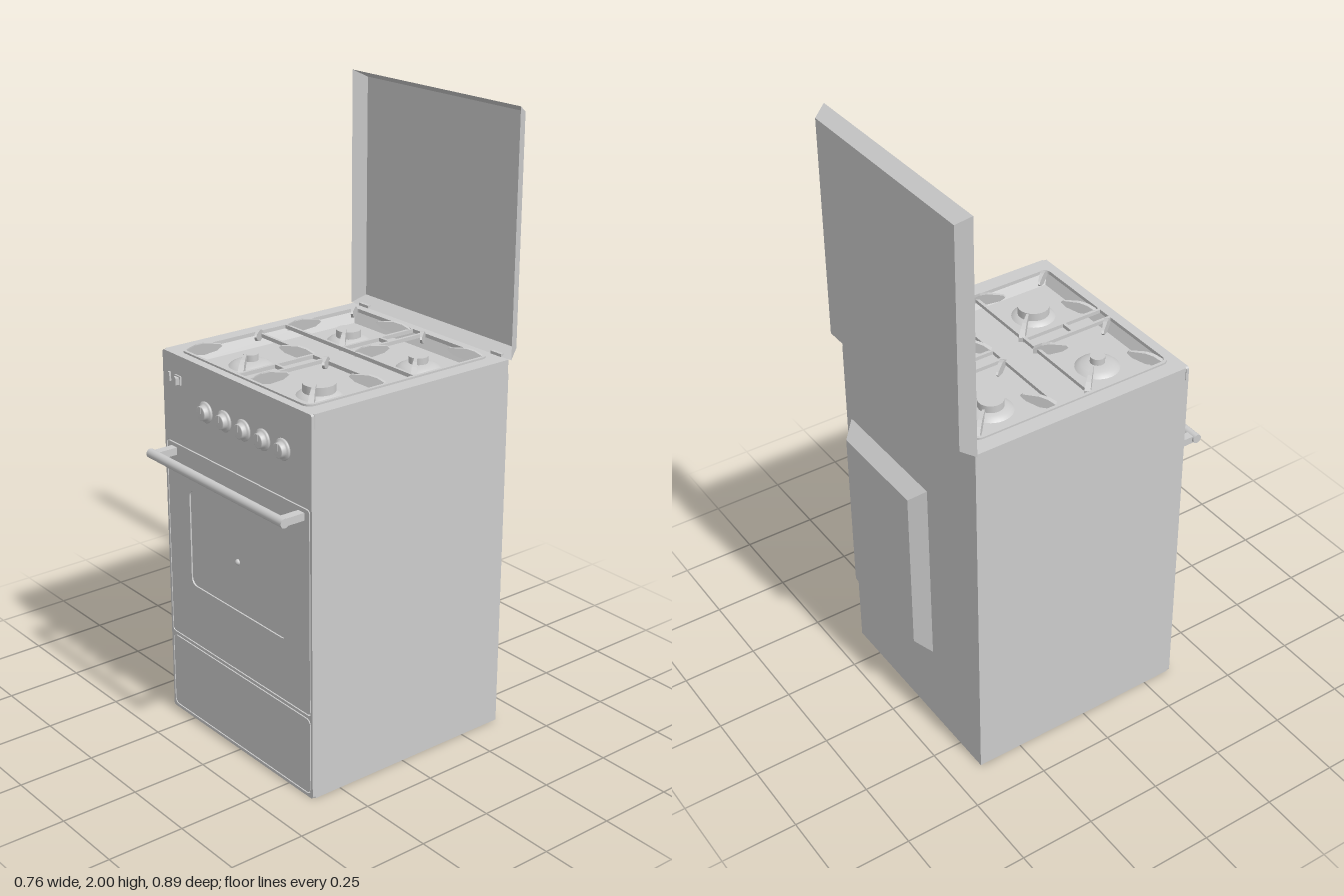
import * as THREE from 'three';

const grey = new THREE.MeshStandardMaterial({ color: 0xcccccc });
const thin = new THREE.MeshStandardMaterial({ color: 0xcccccc, side: THREE.DoubleSide });

function add(parent, name, geometry, x = 0, y = 0, z = 0, material = grey) {
  const mesh = new THREE.Mesh(geometry, material);
  mesh.name = name;
  mesh.position.set(x, y, z);
  parent.add(mesh);
  return mesh;
}

// box given by its limits on each axis
function block(parent, name, x0, x1, y0, y1, z0, z1) {
  return add(parent, name, new THREE.BoxGeometry(x1 - x0, y1 - y0, z1 - z0),
    (x0 + x1) / 2, (y0 + y1) / 2, (z0 + z1) / 2);
}

function roundRect(x0, x1, y0, y1, r, target = new THREE.Shape()) {
  const q = Math.PI / 2;
  target.absarc(x1 - r, y0 + r, r, -q, 0);
  target.absarc(x1 - r, y1 - r, r, 0, q);
  target.absarc(x0 + r, y1 - r, r, q, 2 * q);
  target.absarc(x0 + r, y0 + r, r, 2 * q, 3 * q);
  target.closePath();
  return target;
}

function plate(shape, depth, holes = []) {
  shape.holes.push(...holes.map((h) => roundRect(...h, new THREE.Path())));
  return new THREE.ExtrudeGeometry(shape, { depth, bevelEnabled: false, curveSegments: 5 });
}

// open pan: rim rectangle at z = 0, smaller floor at z = -depth
function pan(x0, x1, y0, y1, inset, depth) {
  const ring = (i, z) => [[x0 + i, y0 + i, z], [x1 - i, y0 + i, z], [x1 - i, y1 - i, z], [x0 + i, y1 - i, z]];
  const a = ring(0, 0), b = ring(inset, -depth), pos = [];
  const quad = (p, q, r, s) => pos.push(...p, ...q, ...r, ...p, ...r, ...s);
  for (let i = 0; i < 4; i++) {
    const j = (i + 1) % 4;
    quad(a[i], b[i], b[j], a[j]);
  }
  quad(b[3], b[2], b[1], b[0]);
  const g = new THREE.BufferGeometry();
  g.setAttribute('position', new THREE.Float32BufferAttribute(pos, 3));
  g.computeVertexNormals();
  return g;
}

// pan support: a fin, broad at the corner and narrow toward the burner
function finGeometry() {
  const s = new THREE.Shape();
  s.moveTo(0, 1.225);
  s.lineTo(0, 1.24);
  s.lineTo(0.025, 1.255);
  s.lineTo(0.05, 1.262);
  s.lineTo(0.1, 1.262);
  s.lineTo(0.107, 1.255);
  s.lineTo(0.09, 1.24);
  s.lineTo(0.05, 1.225);
  const g = new THREE.ExtrudeGeometry(s, { depth: 0.018, bevelEnabled: false });
  g.translate(0, 0, -0.009);
  const p = g.attributes.position;
  for (let i = 0; i < p.count; i++) p.setZ(i, p.getZ(i) * (1 - 6 * p.getX(i)));
  g.computeVertexNormals();
  return g;
}

export function createModel() {
  const model = new THREE.Group();
  model.name = 'cooker';
  const up = -Math.PI / 2;

  // cabinet with a front frame and inset panels
  block(model, 'cabinet', -0.368, 0.368, 0, 1.19, -0.4, 0.345);
  add(model, 'frontFrame', plate(roundRect(-0.368, 0.368, 0, 1.235, 0.008), 0.01,
    [[-0.36, 0.36, 0.278, 0.945, 0.012], [-0.36, 0.36, 0.01, 0.268, 0.02]]), 0, 0, 0.345);
  add(model, 'ovenDoor', plate(roundRect(-0.356, 0.356, 0.282, 0.941, 0.01), 0.01,
    [[-0.245, 0.245, 0.485, 0.81, 0.025]]), 0, 0, 0.345);
  add(model, 'ovenWindow', new THREE.BoxGeometry(0.5, 0.34, 0.004), 0, 0.648, 0.348);
  add(model, 'windowStud', new THREE.SphereGeometry(0.01, 12, 8), 0, 0.65, 0.35);
  add(model, 'drawerFront', plate(roundRect(-0.356, 0.356, 0.014, 0.264, 0.017), 0.01), 0, 0, 0.345);

  // oven handle
  const bar = add(model, 'handleBar', new THREE.CylinderGeometry(0.015, 0.015, 0.682, 20), 0, 0.919, 0.43);
  bar.rotation.z = Math.PI / 2;
  for (const s of [-1, 1]) {
    add(model, 'handleBracket', new THREE.BoxGeometry(0.028, 0.024, 0.075), s * 0.32, 0.917, 0.39);
  }

  // control knobs and switches
  const knobProfile = [[0, 0], [0.032, 0], [0.034, 0.006], [0.03, 0.01], [0.024, 0.012], [0.023, 0.023], [0.02, 0.025], [0, 0.025]];
  const knob = new THREE.LatheGeometry(knobProfile.map(([r, y]) => new THREE.Vector2(r, y)), 24);
  for (let i = 0; i < 5; i++) {
    const x = -0.14 + i * 0.095;
    add(model, 'knob', knob, x, 1.095, 0.354).rotation.x = Math.PI / 2;
    block(model, 'knobPointer', x - 0.003, x + 0.003, 1.095, 1.117, 0.376, 0.381);
  }
  block(model, 'buttonLight', -0.335, -0.325, 1.143, 1.172, 0.354, 0.362);
  block(model, 'buttonBase', -0.3, -0.27, 1.143, 1.172, 0.354, 0.36);
  const rocker = add(model, 'rockerSwitch', new THREE.BoxGeometry(0.024, 0.022, 0.012), -0.284, 1.157, 0.363);
  rocker.rotation.y = -0.4;

  // hob top with a sunken tray
  add(model, 'hobTop', plate(roundRect(-0.368, 0.368, -0.345, 0.4, 0.004), 0.045,
    [[-0.316, 0.316, -0.326, 0.367, 0.03]]), 0, 1.19, 0).rotation.x = up;
  add(model, 'hobTray', pan(-0.312, 0.312, -0.322, 0.362, 0.02, 0.036), 0, 1.232, 0, thin).rotation.x = up;

  // grate frame
  const rim = plate(roundRect(-0.317, 0.317, -0.327, 0.368, 0.03), 0.012, [[-0.307, 0.307, -0.317, 0.358, 0.02]]);
  add(model, 'grateRim', rim, 0, 1.229, 0).rotation.x = up;
  for (const [zBack, zFront, zMid] of [[-0.362, -0.076, -0.223], [0.038, 0.322, 0.181]]) {
    const zCross = zBack < 0 ? zFront : zBack;
    block(model, 'grateCrossBar', -0.308, 0.308, 1.229, 1.241, zCross - 0.005, zCross + 0.005);
    block(model, 'grateBridge', -0.025, 0.025, 1.229, 1.241, zMid - 0.005, zMid + 0.005);
    for (const s of [-1, 1]) {
      block(model, 'grateSpine', s * 0.026 - 0.005, s * 0.026 + 0.005, 1.229, 1.241, zBack, zFront);
    }
  }

  // burners, each with four pan supports
  const fin = finGeometry();
  for (const [x, z, r] of [[-0.167, -0.215, 0.04], [0.167, -0.215, 0.03], [-0.167, 0.168, 0.023], [0.167, 0.168, 0.05]]) {
    const burner = new THREE.Group();
    burner.name = 'burner';
    burner.position.set(x, 0, z);
    model.add(burner);
    const dome = [[0.07, 1.195], [0.062, 1.202], [0.05, 1.208], [0.03, 1.213], [0, 1.214]];
    add(burner, 'burnerDome', new THREE.LatheGeometry(dome.map(([a, b]) => new THREE.Vector2(a, b)), 32), 0, 0, 0, thin);
    add(burner, 'burnerCap', new THREE.CylinderGeometry(r, r, 0.03, 28), 0, 1.219, 0);
    for (const sx of [-1, 1]) for (const sz of [-1, 1]) {
      const f = add(burner, 'panSupport', fin, sx * 0.136, 0, sz * 0.138);
      f.rotation.y = Math.atan2(sz, -sx);
    }
  }

  // raised lid and its hinges
  add(model, 'lid', pan(-0.378, 0.378, 1.235, 2, 0.024, 0.043), 0, 0, -0.4, thin);
  for (const s of [-1, 1]) {
    add(model, 'lidHinge', new THREE.BoxGeometry(0.045, 0.012, 0.012), s * 0.313, 1.238, -0.403);
  }

  // tapered housing on the back
  add(model, 'rearHousing', pan(-0.1, 0.34, 0.28, 0.93, 0.04, 0.045), 0, 0, -0.4, thin);

  return model;
}
